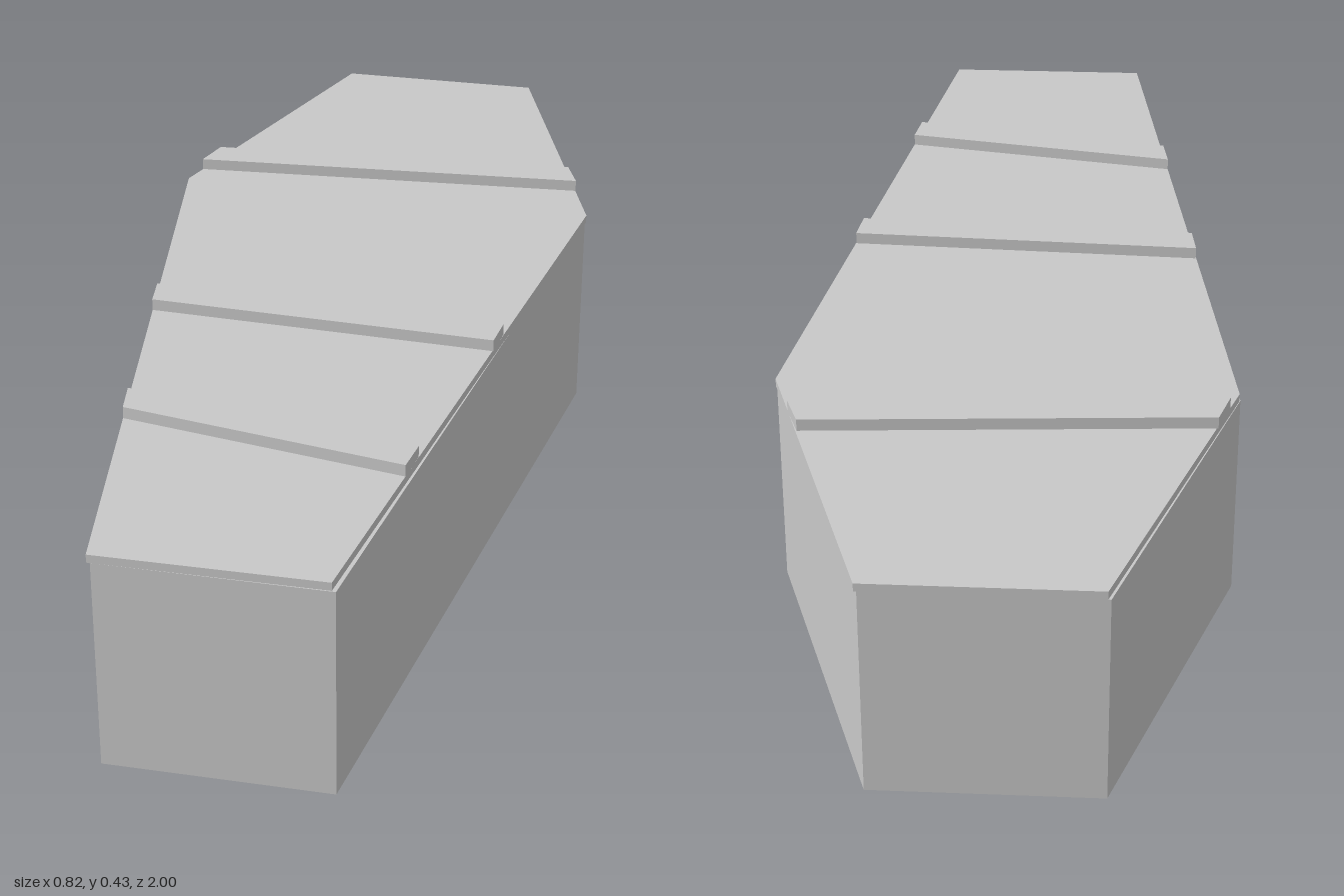
import * as THREE from 'three';

export function createModel() {
  const group = new THREE.Group();
  const stone = new THREE.MeshStandardMaterial({ color: 0xc8c8c8 });
  stone.name = 'light grey';

  // Horizontal slab from a plan outline of [x, z] corners, between two heights
  function slab(name, outline, bottom, top) {
    const shape = new THREE.Shape(outline.map(([x, z]) => new THREE.Vector2(x, z)));
    const geometry = new THREE.ExtrudeGeometry(shape, { depth: top - bottom, bevelEnabled: false });
    geometry.rotateX(Math.PI / 2).translate(0, top, 0);
    const mesh = new THREE.Mesh(geometry, stone);
    mesh.name = name;
    group.add(mesh);
  }

  // Six-sided box, widest at the shoulders
  slab('coffinBody', [
    [-0.2, -1], [0.197, -1], [0.405, -0.385], [0.195, 1], [-0.2, 1], [-0.41, -0.385],
  ], 0, 0.393);

  // Lid, lying slightly askew
  slab('lid', [
    [-0.195, -1], [0.202, -1], [0.408, -0.38], [0.188, 0.998], [-0.206, 1], [-0.408, -0.388],
  ], 0.393, 0.408);

  // Crooked planks across the lid, ends trimmed to its edges
  slab('shoulderPlank', [[-0.37, -0.505], [0.348, -0.553], [0.372, -0.49], [-0.391, -0.438]], 0.408, 0.43);
  slab('middlePlank', [[-0.333, 0.12], [0.323, 0.147], [0.315, 0.212], [-0.325, 0.184]], 0.408, 0.43);
  slab('footPlank', [[-0.277, 0.512], [0.251, 0.602], [0.241, 0.667], [-0.267, 0.578]], 0.408, 0.43);

  return group;
}
